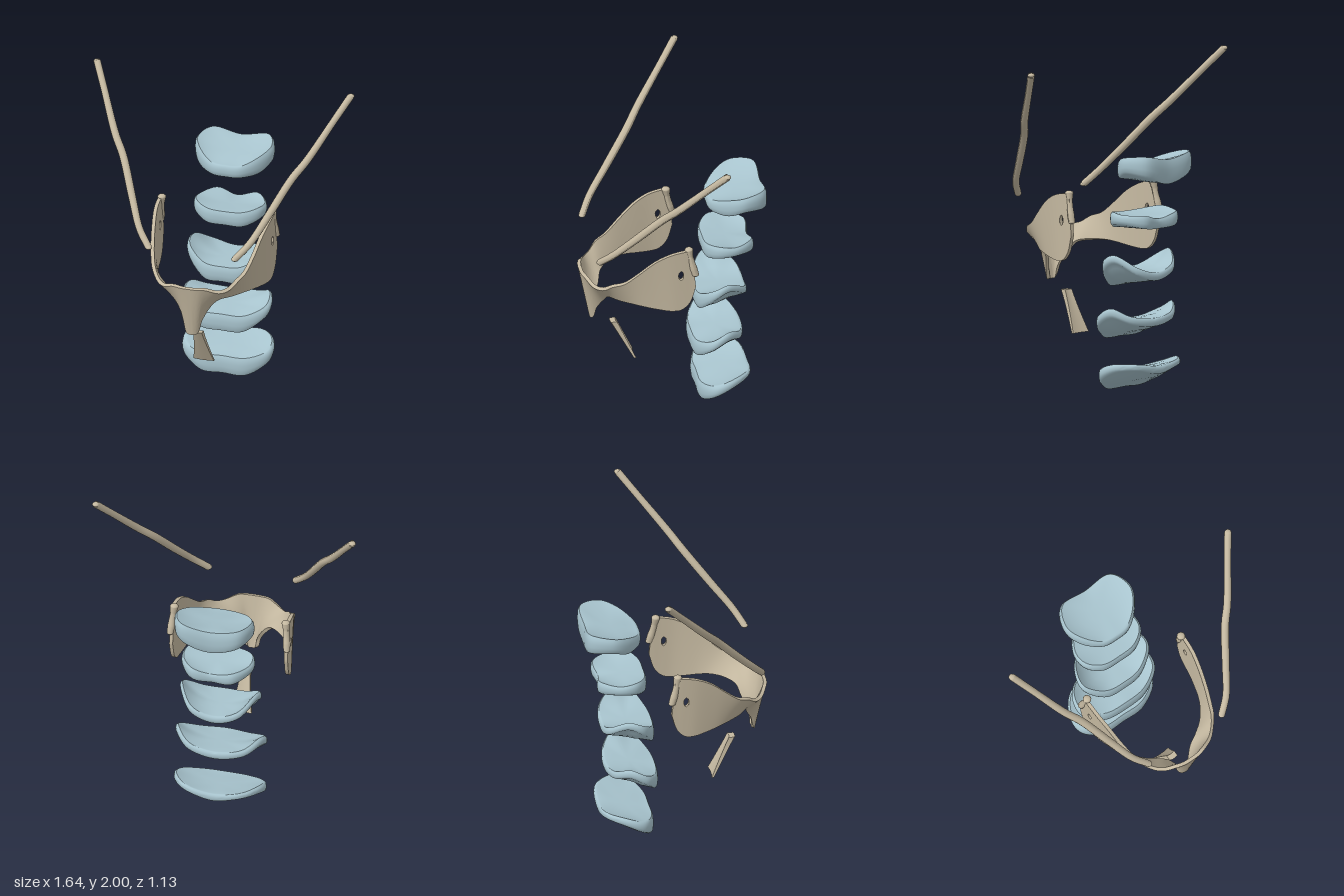
import * as THREE from 'three';
import { toCreasedNormals } from 'three/addons/utils/BufferGeometryUtils.js';

const bone = new THREE.MeshStandardMaterial({ color: 0xc4b8a0, side: THREE.DoubleSide });
bone.name = 'bone beige';
const disc = new THREE.MeshStandardMaterial({ color: 0xa8c4ce });
disc.name = 'disc blue';

const V = (x, y, z) => new THREE.Vector3(x, y, z);

function addMesh(parent, name, geometry, material) {
  const mesh = new THREE.Mesh(geometry, material);
  mesh.name = name;
  parent.add(mesh);
  return mesh;
}

function fromTriangles(points, index) {
  const g = new THREE.BufferGeometry();
  g.setAttribute('position', new THREE.Float32BufferAttribute(points.flatMap(p => [p.x, p.y, p.z]), 3));
  g.setIndex(index);
  return g;
}

// Joins closed rings of equal length into a skin
function loft(rings) {
  const n = rings[0].length, index = [];
  for (let i = 0; i < rings.length - 1; i++) {
    for (let j = 0; j < n; j++) {
      const a = i * n + j, b = i * n + (j + 1) % n;
      index.push(a, a + n, b, b, a + n, b + n);
    }
  }
  return fromTriangles(rings.flat(), index);
}

// Dished disc from half-outline rows, front to back: [x, z, top y, bottom y]
function discGeometry(rows) {
  const mirrored = rows.slice(1, -1).reverse().map(([x, ...r]) => [-x, ...r]);
  const all = [...rows, ...mirrored];
  const curve = k => new THREE.CatmullRomCurve3(all.map(r => V(r[0], r[k], r[1])), true, 'catmullrom', 0.5);
  const N = 64, topCurve = curve(2), bottomCurve = curve(3);
  const front = rows[0], back = rows[rows.length - 1], zc = (front[1] + back[1]) / 2;
  const edge = 0.94;
  const ring = (s, wall) => Array.from({ length: N }, (_, j) => {
    const t = topCurve.getPoint(j / N), b = bottomCurve.getPoint(j / N);
    const z = zc + (t.z - zc) * s;
    let y = t.y + (b.y - t.y) * wall;
    if (wall === 0 || wall === 1) {
      const k = 2 + wall, f = (z - front[1]) / (back[1] - front[1]);
      const middle = front[k] + (back[k] - front[k]) * f;
      y = middle + (y - middle) * Math.pow(s / edge, 3);
    }
    return V(t.x * s, y, z);
  });
  const profile = [
    [0.001, 0], [0.3, 0], [0.55, 0], [0.75, 0], [0.87, 0], [edge, 0],
    [0.985, 0.14], [1, 0.4], [1, 0.6], [0.985, 0.86],
    [edge, 1], [0.87, 1], [0.75, 1], [0.55, 1], [0.3, 1], [0.001, 1],
  ];
  return toCreasedNormals(loft(profile.map(([s, w]) => ring(s, w))), 0.9);
}

const DISCS = [
  [[0, -.145, .12, .005], [.15, -.15, .12, .005], [.27, -.22, .15, .07], [.27, -.34, .185, .13], [.17, -.45, .185, .145], [0, -.47, .165, .115]],
  [[0, -.11, .42, .31], [.15, -.125, .42, .315], [.27, -.2, .47, .40], [.265, -.31, .52, .46], [.17, -.4, .47, .42], [0, -.43, .45, .40]],
  [[0, -.13, .73, .63], [.13, -.145, .74, .635], [.24, -.22, .81, .74], [.235, -.32, .84, .79], [.15, -.43, .77, .72], [0, -.45, .73, .68]],
  [[0, -.18, 1.08, .99], [.12, -.19, 1.085, .99], [.21, -.26, 1.10, 1.02], [.215, -.37, 1.09, 1.03], [.13, -.48, 1.09, 1.01], [0, -.47, 1.06, 1.0]],
  [[0, -.21, 1.375, 1.30], [.1, -.225, 1.38, 1.30], [.2, -.31, 1.42, 1.31], [.245, -.42, 1.45, 1.35], [.18, -.55, 1.46, 1.33], [0, -.555, 1.43, 1.28]],
];

// Half of the curved plate from the middle to the back: [top x, z, y, bottom x, z, y]
const PLATE = [
  [0, .555, .93, 0, .49, .59], [.05, .553, .93, .03, .48, .6], [.1, .54, .93, .05, .465, .68],
  [.17, .505, .905, .09, .43, .76], [.22, .46, .91, .14, .41, .81], [.26, .41, .95, .21, .36, .82],
  [.29, .34, .98, .265, .29, .82], [.315, .26, 1.05, .3, .22, .81], [.335, .17, 1.13, .325, .14, .795],
  [.35, .08, 1.18, .345, .06, .785], [.355, 0, 1.2, .352, 0, .795], [.355, -.045, 1.2, .355, -.05, .85],
  [.355, -.06, 1.17, .357, -.08, .95],
];
const HOLE = { y: 1.035, z: 0.01, ry: 0.032, rz: 0.016 };

function plateGeometry() {
  const rows = [...PLATE.slice(1).reverse().map(r => [-r[0], r[1], r[2], -r[3], r[4], r[5]]), ...PLATE];
  const top = new THREE.CatmullRomCurve3(rows.map(r => V(r[0], r[2], r[1])), false, 'catmullrom', 0.5);
  const bottom = new THREE.CatmullRomCurve3(rows.map(r => V(r[3], r[5], r[4])), false, 'catmullrom', 0.5);
  const NU = 144, NV = 26, half = 0.011;
  const at = (u, v) => bottom.getPoint(u).lerp(top.getPoint(u), v);
  const outer = [], inner = [], inHole = [];
  for (let i = 0; i <= NU; i++) {
    for (let j = 0; j <= NV; j++) {
      const u = i / NU, v = j / NV, p = at(u, v);
      const du = at(Math.min(1, u + 0.004), v).sub(at(Math.max(0, u - 0.004), v));
      const normal = du.cross(top.getPoint(u).sub(bottom.getPoint(u))).normalize();
      // Points inside the opening move out to its edge
      const dz = p.z - HOLE.z, dy = p.y - HOLE.y;
      const d = Math.hypot(dz / HOLE.rz, dy / HOLE.ry);
      inHole.push(d < 1);
      if (d < 1) {
        p.z = HOLE.z + dz / Math.max(d, 0.01);
        p.y = HOLE.y + dy / Math.max(d, 0.01);
      }
      outer.push(p.clone().addScaledVector(normal, half));
      inner.push(p.clone().addScaledVector(normal, -half));
    }
  }
  const M = outer.length, index = [];
  const id = (i, j) => i * (NV + 1) + j;
  const quad = (a, b, c, d) => index.push(a, b, c, a, c, d);
  for (let i = 0; i < NU; i++) {
    for (let j = 0; j < NV; j++) {
      const c = [id(i, j), id(i + 1, j), id(i + 1, j + 1), id(i, j + 1)];
      if (c.every(k => inHole[k])) continue;
      quad(...c);
      quad(...c.reverse().map(k => k + M));
    }
    const b = id(i, 0), b2 = id(i + 1, 0), t = id(i, NV), t2 = id(i + 1, NV);
    quad(b, b + M, b2 + M, b2);
    quad(t2, t2 + M, t + M, t);
  }
  for (let j = 0; j < NV; j++) {
    const a = id(0, j), a2 = id(0, j + 1), e = id(NU, j), e2 = id(NU, j + 1);
    quad(a2, a2 + M, a + M, a);
    quad(e, e + M, e2 + M, e2);
  }
  return toCreasedNormals(fromTriangles([...outer, ...inner], index), 0.8);
}

// Tapered round rod with closed ends
function rodGeometry(points, radii) {
  const curve = new THREE.CatmullRomCurve3(points), N = 32, S = 12;
  const g = new THREE.TubeGeometry(curve, N, 1, S);
  const p = g.attributes.position, v = V(0, 0, 0);
  for (let k = 0; k < p.count; k++) {
    const t = Math.floor(k / (S + 1)) / N, f = t * (radii.length - 1);
    const i = Math.min(Math.floor(f), radii.length - 2);
    const r = THREE.MathUtils.lerp(radii[i], radii[i + 1], f - i);
    const c = curve.getPointAt(t);
    v.fromBufferAttribute(p, k).sub(c).multiplyScalar(r).add(c);
    p.setXYZ(k, v.x, v.y, v.z);
  }
  g.computeVertexNormals();
  return g;
}

function addRod(parent, name, points, radii) {
  const rod = new THREE.Group();
  rod.name = name;
  addMesh(rod, name + 'Shaft', rodGeometry(points, radii), bone);
  [0, points.length - 1].forEach((i, k) => {
    const r = radii[k ? radii.length - 1 : 0];
    const cap = addMesh(rod, name + 'End', new THREE.SphereGeometry(r, 12, 8), bone);
    cap.position.copy(points[i]);
    cap.scale.y = 0.6;
  });
  parent.add(rod);
}

export function createModel() {
  const model = new THREE.Group();
  model.name = 'neckParts';

  DISCS.forEach((rows, i) => addMesh(model, 'spinalDisc' + (i + 1), discGeometry(rows), disc));

  addMesh(model, 'throatPlate', plateGeometry(), bone);

  for (const s of [1, -1]) {
    const side = s > 0 ? 'left' : 'right';
    // Long slanted rods
    addRod(model, side + 'LongRod', [
      V(s * .797, 1.985, -.185), V(s * .72, 1.855, -.08), V(s * .6, 1.65, .085), V(s * .53, 1.555, .16),
      V(s * .425, 1.36, .315), V(s * .345, 1.22, .43), V(s * .27, 1.135, .49),
    ], [.022, .021, .023, .024, .024, .022, .021]);
    // Short horns at the back corners of the plate
    addRod(model, side + 'Horn', [
      V(s * .347, 1.205, -.04), V(s * .355, 1.12, -.055), V(s * .362, 1.035, -.078),
    ], [.026, .019, .02, .023, .021]);
    // Inner wall of the small opening
    const wall = addMesh(model, side + 'OpeningWall', new THREE.CylinderGeometry(1, 1, .022, 20, 1, true), bone);
    wall.rotation.z = Math.PI / 2;
    wall.scale.set(HOLE.ry, 1, HOLE.rz);
    wall.position.set(s * .353, HOLE.y, HOLE.z);
  }

  // Flared, leaning tab in the middle
  const tab = new THREE.BoxGeometry(2, 1, 1, 4, 8, 1);
  const p = tab.attributes.position;
  for (let i = 0; i < p.count; i++) {
    const t = p.getY(i) + 0.5, x = p.getX(i);
    const width = .028 + .036 * Math.pow(1 - t, 1.4);
    const depth = .014 + .022 * t;
    p.setXYZ(i, x * width, .29 + .25 * t, .237 + .122 * t + p.getZ(i) * depth - .006 * x * x);
  }
  addMesh(model, 'middleTab', toCreasedNormals(tab, 0.7), bone);

  return model;
}
